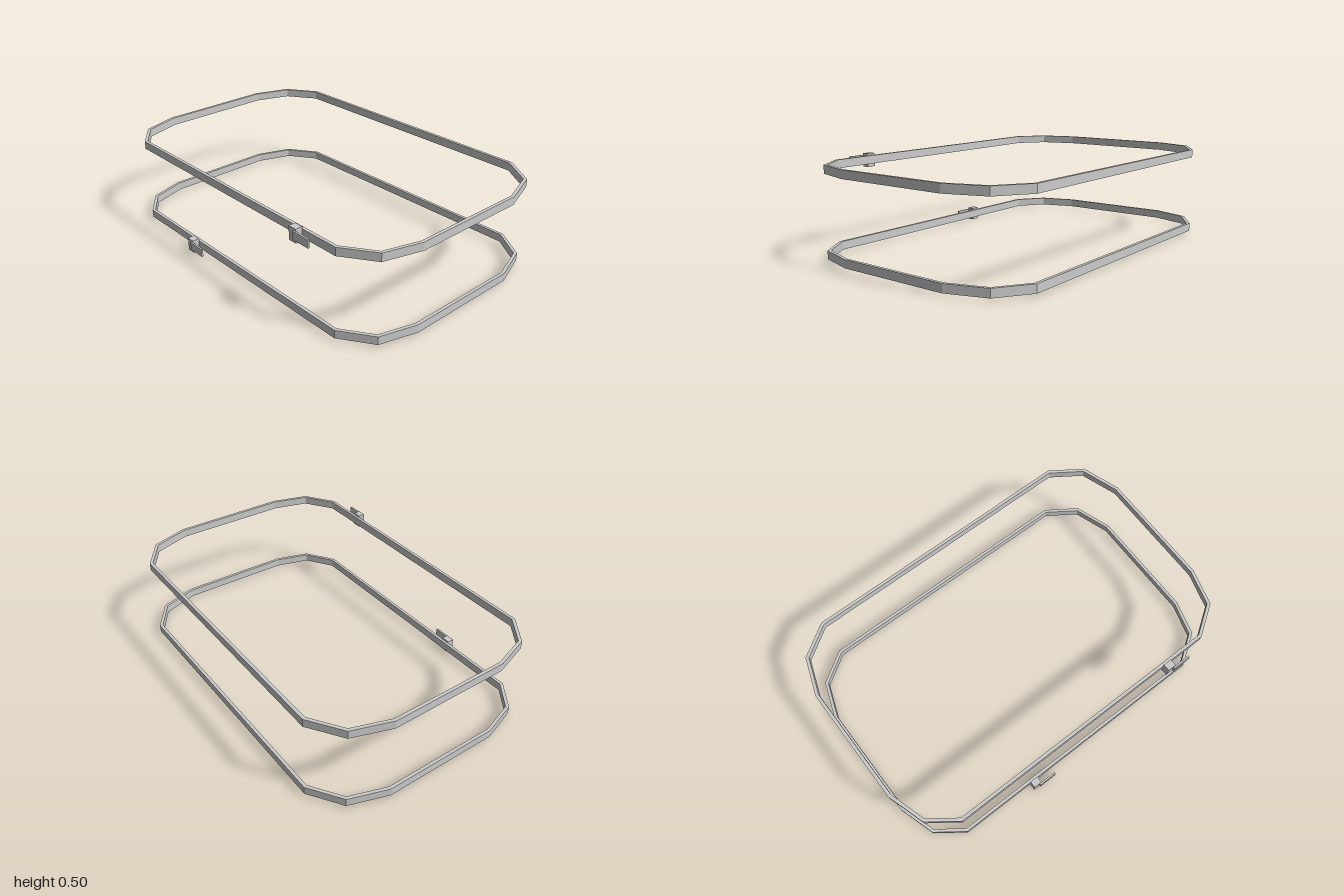
import * as THREE from 'three';

const material = new THREE.MeshStandardMaterial({ color: 0xcccccc, flatShading: true });
const THICKNESS = 0.017;

// Outer outline of a strap as [x, z] corners
const OUTLINE = [
  [-0.76, -0.66], [0.76, -0.66], [0.93, -0.545], [1, -0.335],
  [0.99, 0.305], [0.93, 0.505], [0.765, 0.615], [-0.78, 0.615],
  [-0.93, 0.505], [-0.995, 0.305], [-1, -0.34], [-0.93, -0.545],
].map(([x, z]) => new THREE.Vector2(x, z));

// Moves every corner inward along its mitre
function inset(points, distance) {
  const n = points.length;
  const normal = (a, b) => new THREE.Vector2(a.y - b.y, b.x - a.x).normalize();
  return points.map((p, i) => {
    const n1 = normal(points[(i + n - 1) % n], p);
    const n2 = normal(p, points[(i + 1) % n]);
    return p.clone().addScaledVector(n1.clone().add(n2), distance / (1 + n1.dot(n2)));
  });
}

// Box given by its limits on each axis
function box(name, [x0, x1], [y0, y1], [z0, z1]) {
  const mesh = new THREE.Mesh(new THREE.BoxGeometry(x1 - x0, y1 - y0, z1 - z0), material);
  mesh.position.set((x0 + x1) / 2, (y0 + y1) / 2, (z0 + z1) / 2);
  mesh.name = name;
  return mesh;
}

// A closed band with a clasp and a loose strap end on its front run
function strap(name, y, claspX) {
  const group = new THREE.Group();
  group.name = name;

  const shape = new THREE.Shape(OUTLINE);
  shape.holes.push(new THREE.Path(inset(OUTLINE, THICKNESS)));
  const geometry = new THREE.ExtrudeGeometry(shape, { depth: 0.044, bevelEnabled: false });
  geometry.rotateX(Math.PI / 2).translate(0, 0.062, 0);
  const band = new THREE.Mesh(geometry, material);
  band.name = 'band';

  group.add(
    band,
    box('clasp', [claspX - 0.024, claspX + 0.024], [0, 0.072], [0.613, 0.651]),
    box('strapEnd', [claspX + 0.011, claspX + 0.114], [0.018, 0.062], [0.65, 0.66]),
  );
  group.position.y = y;
  return group;
}

export function createModel() {
  const model = new THREE.Group();
  model.name = 'strapPair';
  model.add(strap('lowerStrap', 0, -0.33), strap('upperStrap', 0.432, 0.527));
  return model;
}
